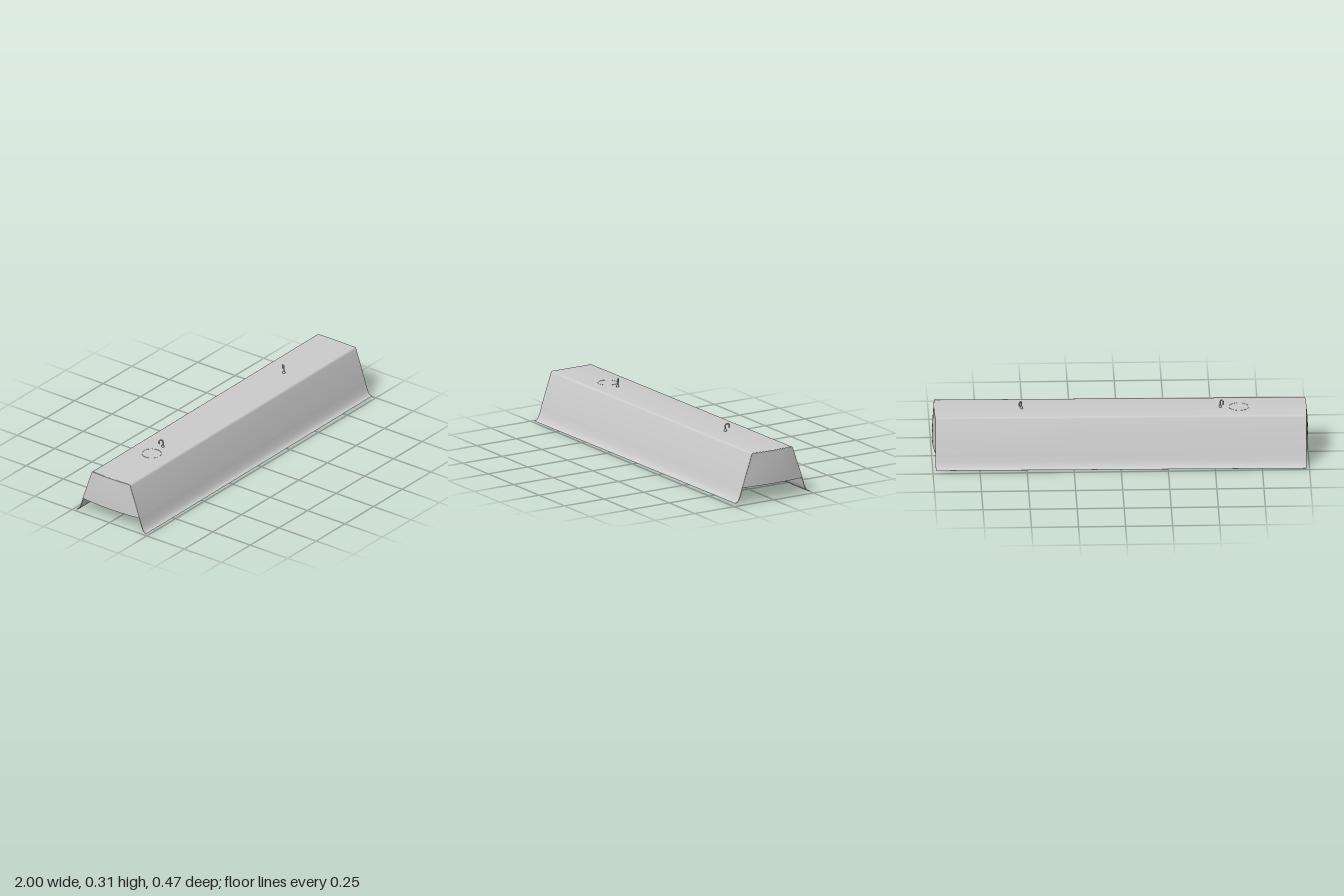
import * as THREE from 'three';
import { toCreasedNormals } from 'three/addons/utils/BufferGeometryUtils.js';

const grey = new THREE.MeshStandardMaterial({ color: 0xcccccc, side: THREE.DoubleSide });

function add(parent, geometry, name) {
  const mesh = new THREE.Mesh(geometry, grey);
  mesh.name = name;
  parent.add(mesh);
  return mesh;
}

// Half section of the hood as [z, y]: top, side wall and a smoothly flared skirt
const TOP = [[0, 0.27], [0.118, 0.272], [0.124, 0.271], [0.128, 0.268], [0.131, 0.262]];
const SKIRT = [[0.19, 0.092], [0.199, 0.062], [0.208, 0.038], [0.219, 0.02], [0.235, 0.012]];
const CEILING = [0.165, 0.157];

function smooth(points, lift) {
  const curve = new THREE.SplineCurve(points.map(([z, y]) => new THREE.Vector2(z - lift, y - lift * 0.5)));
  return curve.getPoints(14).map((p) => [p.x, p.y]);
}

function hoodGeometry(halfLength) {
  const half = [...TOP, ...smooth(SKIRT, 0), ...smooth(SKIRT, 0.003).reverse(), CEILING];
  const mirrored = half.slice(1).reverse().map(([z, y]) => [-z, y]);
  const shape = new THREE.Shape([...half, ...mirrored].map(([z, y]) => new THREE.Vector2(z, y)));
  const g = new THREE.ExtrudeGeometry(shape, { depth: halfLength * 2, bevelEnabled: false });
  g.translate(0, 0, -halfLength).rotateY(Math.PI / 2);
  // The recess ceiling rises a little along the length, following the sloped inner walls
  const p = g.attributes.position;
  for (let i = 0; i < p.count; i++) {
    if (Math.abs(p.getY(i) - CEILING[1]) > 0.001) continue;
    const rise = 0.016 * p.getX(i);
    p.setY(i, p.getY(i) + rise);
    p.setZ(i, p.getZ(i) - Math.sign(p.getZ(i)) * rise * 0.35);
  }
  return toCreasedNormals(g, 0.6);
}

// Thin trapezoid end plate, bowed outward most along its lower part
function capGeometry() {
  const g = new THREE.BoxGeometry(1, 1, 2, 1, 8, 16);
  const p = g.attributes.position;
  for (let i = 0; i < p.count; i++) {
    const v = p.getY(i) + 0.5, u = p.getZ(i);
    const bow = 0.986 + 0.013 * (1 - u * u) * (1 - 0.7 * v * v);
    p.setXYZ(i, p.getX(i) > 0 ? bow : bow - 0.005,
      0.091 + 0.179 * v, u * THREE.MathUtils.lerp(0.189, 0.126, v));
  }
  return toCreasedNormals(g, 0.6);
}

// Lamp holder: flat plate with round ends and a round opening
function socketGeometry() {
  const s = new THREE.Shape();
  s.absarc(0, 0.127, 0.018, 0, Math.PI);
  s.absarc(0, 0.106, 0.018, Math.PI, Math.PI * 2);
  s.holes.push(new THREE.Path().absarc(0, 0.117, 0.01, 0, Math.PI * 2, true));
  const g = new THREE.ExtrudeGeometry(s, { depth: 0.014, bevelEnabled: false, curveSegments: 12 });
  return toCreasedNormals(g.translate(0, 0, -0.007).rotateY(Math.PI / 2), 0.6);
}

// Hanging hook: collar, stem and a bent-over wire
function makeHook() {
  const hook = new THREE.Group();
  hook.name = 'hangingHook';
  add(hook, new THREE.CylinderGeometry(0.006, 0.008, 0.012, 12).translate(0, 0.004, 0), 'hookCollar');
  const path = new THREE.CatmullRomCurve3([[0, 0], [0, 0.028], [0.004, 0.036], [0.012, 0.039],
    [0.02, 0.035], [0.022, 0.027], [0.019, 0.019]].map(([x, y]) => new THREE.Vector3(x, y, 0)));
  add(hook, new THREE.TubeGeometry(path, 28, 0.004, 8), 'hookWire');
  add(hook, new THREE.SphereGeometry(0.004, 8, 6).translate(0.019, 0.019, 0), 'hookTip');
  return hook;
}

export function createModel() {
  const model = new THREE.Group();
  model.name = 'lightFixture';
  // The whole fixture hangs very slightly out of level
  const fixture = new THREE.Group();
  fixture.name = 'fixture';
  fixture.rotation.z = 0.005;
  model.add(fixture);

  add(fixture, hoodGeometry(0.985), 'hood');

  for (const side of [1, -1]) {
    const cap = add(fixture, capGeometry(), 'endCap');
    cap.rotation.y = side > 0 ? 0 : Math.PI;
    // Three lamp holders on the inner face of each cap
    for (const z of [-0.123, 0, 0.123]) {
      const socket = add(fixture, socketGeometry(), 'lampHolder');
      socket.position.set(side * 0.98, 0, z);
    }
  }

  // Hooks on the top
  for (const [x, turn] of [[-0.532, 2.4], [0.525, 1.0]]) {
    const hook = makeHook();
    hook.position.set(x, 0.272, 0);
    hook.rotation.y = turn;
    fixture.add(hook);
  }

  // Round knockout for the cable
  const knockout = add(fixture, new THREE.TorusGeometry(0.052, 0.001, 6, 40), 'cableKnockout');
  knockout.rotation.x = Math.PI / 2;
  knockout.position.set(-0.63, 0.2708, 0);

  return model;
}
